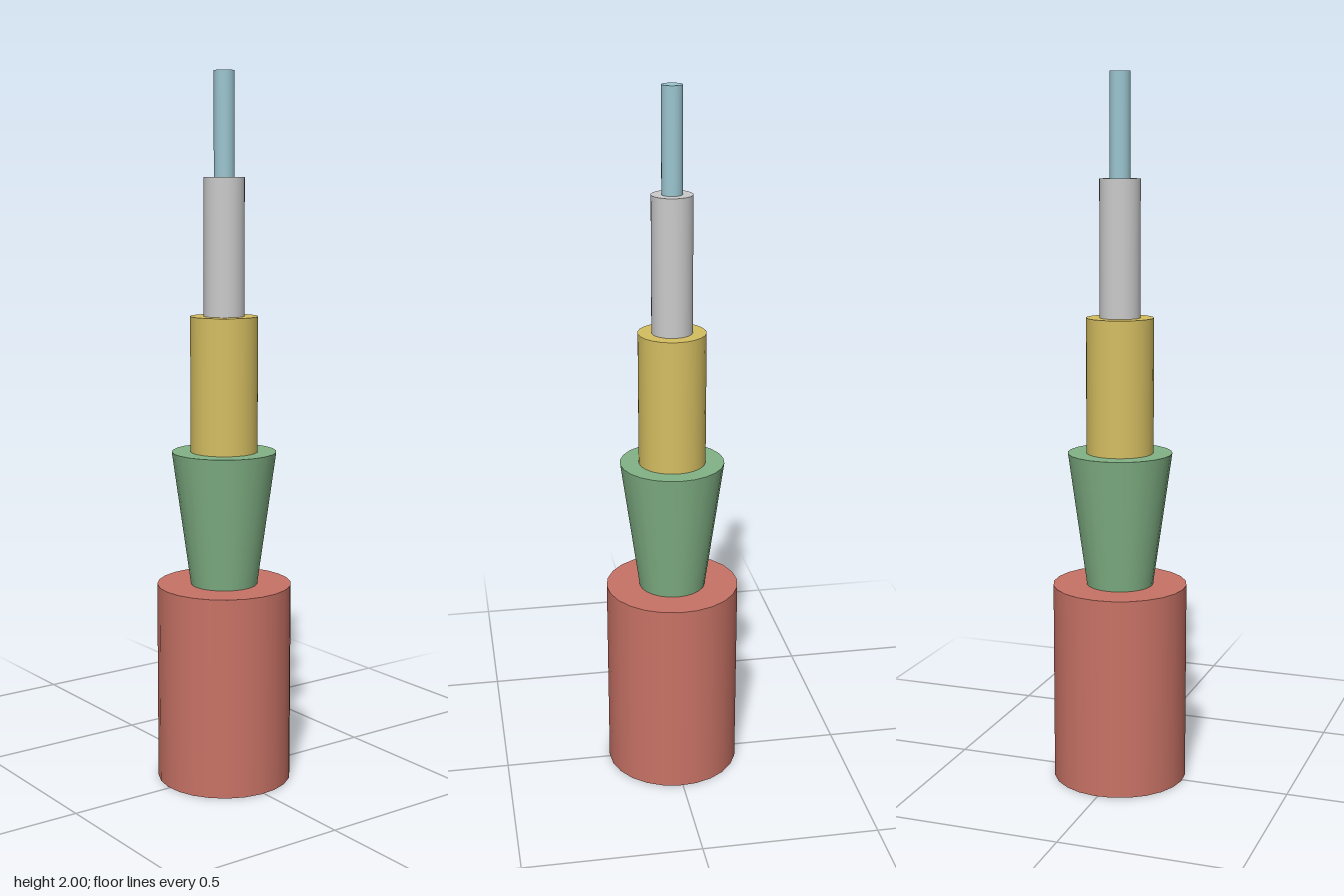
import * as THREE from 'three';

const paint = (color) => new THREE.MeshStandardMaterial({ color });
const SIDES = 24;

export function createModel() {
  const group = new THREE.Group();
  const red = paint(0xc97366);
  const blue = paint(0x9cc6d1);

  // one stacked section: smooth round wall between two heights, capped at both ends
  const section = (name, rTop, rBottom, y0, y1, material, turn = 0) => {
    const geometry = new THREE.CylinderGeometry(rTop, rBottom, y1 - y0, SIDES);
    const mesh = new THREE.Mesh(geometry, material);
    mesh.name = name;
    mesh.position.y = (y0 + y1) / 2;
    mesh.rotation.y = turn;
    group.add(mesh);
  };

  // wide base with a blue underside (wall, top cap, bottom cap)
  section('base', 0.191, 0.191, 0, 0.571, [red, red, blue], -0.05);
  // collar flaring upwards
  section('flaredCollar', 0.148, 0.095, 0.571, 0.952, paint(0x82b386));
  // narrowing steps up to the tip
  section('lowerShaft', 0.095, 0.095, 0.952, 1.333, paint(0xd6bf62));
  section('upperShaft', 0.057, 0.057, 1.333, 1.714, paint(0xcccccc));
  section('tip', 0.0286, 0.0286, 1.714, 2, blue);

  return group;
}
